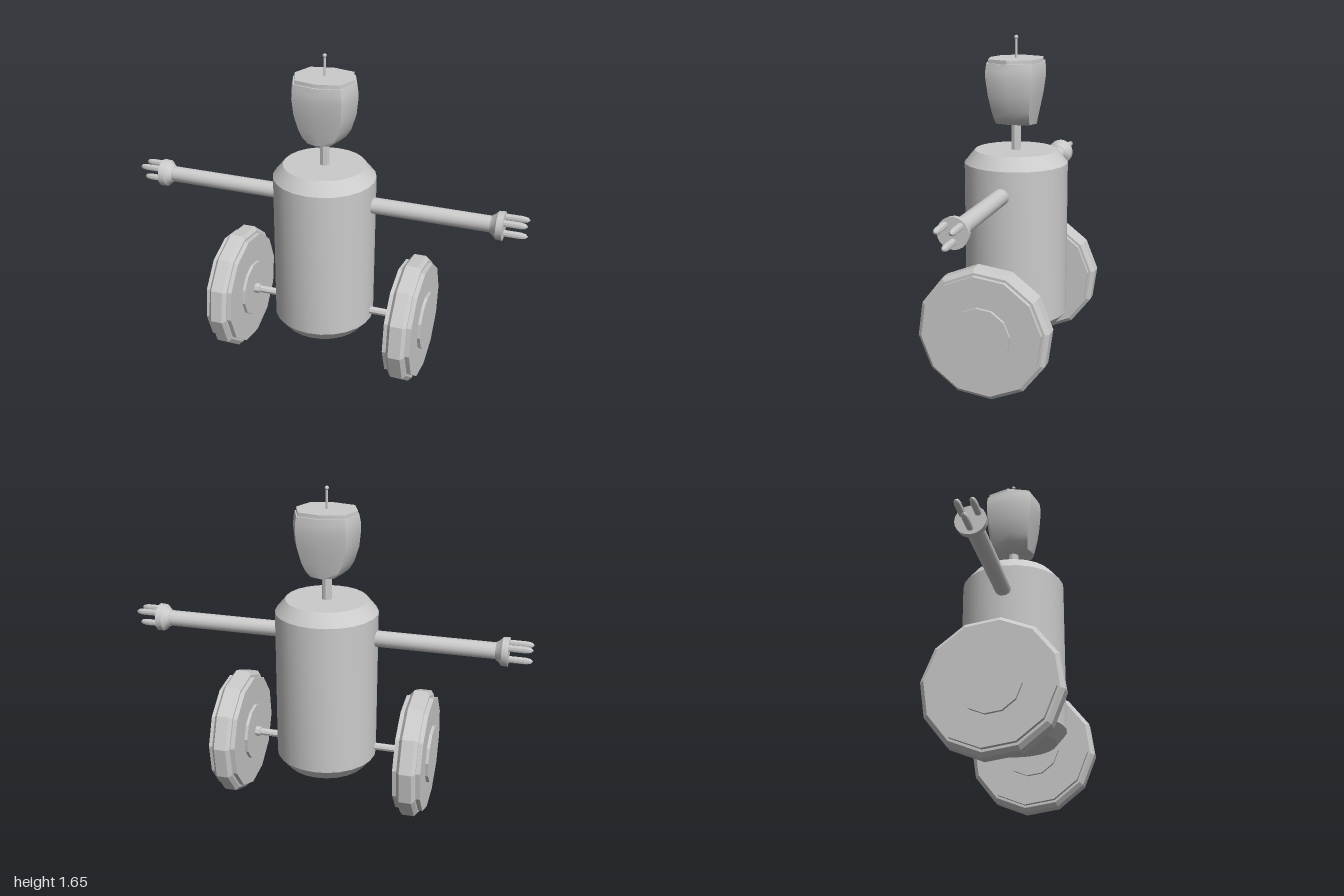
import * as THREE from 'three';
import { toCreasedNormals } from 'three/addons/utils/BufferGeometryUtils.js';

const grey = new THREE.MeshStandardMaterial({ color: 0xcccccc });
const AXIS_Z = -0.008;

function add(parent, name, geometry, x = 0, y = 0, z = 0, crease = 0.6) {
  const mesh = new THREE.Mesh(toCreasedNormals(geometry, crease), grey);
  mesh.name = name;
  mesh.position.set(x, y, z);
  parent.add(mesh);
  return mesh;
}

// Profile pairs are [radius, height], listed from bottom to top
const lathe = (points, sides) =>
  new THREE.LatheGeometry(points.map(([r, h]) => new THREE.Vector2(r, h)), sides);

// Same, but turned so that the profile runs along +x
const latheX = (points, sides, turn = 0) =>
  lathe(points, sides).rotateY(turn).rotateZ(-Math.PI / 2);

// Eight-sided loft; each row is [y, half width, half depth], bottom to top
function octagonLoft(rows) {
  const n = rows.length - 1;
  const geometry = new THREE.CylinderGeometry(1, 1, 1, 8, n);
  const p = geometry.attributes.position;
  for (let i = 0; i < p.count; i++) {
    const [y, w, d] = rows[Math.round((p.getY(i) + 0.5) * n)];
    const x = p.getX(i), z = p.getZ(i);
    const diagonal = Math.abs(x * z) > 0.1;
    p.setXYZ(i, x * w * (diagonal ? 1.04 : 1), y, z * d * (diagonal ? 1.14 : 1));
  }
  return geometry;
}

function createArm() {
  const arm = new THREE.Group();
  add(arm, 'armTube', latheX([[0, 0.2], [0.04, 0.2], [0.04, 0.84], [0, 0.84]], 16));
  add(arm, 'handCup', latheX(
    [[0, 0.825], [0.042, 0.825], [0.052, 0.84], [0.068, 0.855], [0.07, 0.886], [0, 0.886]], 20));
  // Three fingers: two above, one below
  for (const [y, z] of [[0.032, 0.034], [0.032, -0.034], [-0.037, 0]]) {
    add(arm, 'finger', latheX(
      [[0, 0.87], [0.016, 0.87], [0.016, 0.965], [0.012, 0.988], [0, 1]], 10), 0, y, z, 1.2);
  }
  return arm;
}

function createWheel() {
  const wheel = new THREE.Group();
  const turn = THREE.MathUtils.degToRad(7);
  add(wheel, 'tyre', latheX(
    [[0, -0.046], [0.302, -0.046], [0.322, -0.03], [0.322, 0.03], [0.302, 0.046], [0, 0.046]],
    12, turn), 0, 0, 0, 0.3);
  add(wheel, 'rim', latheX(
    [[0, -0.068], [0.29, -0.068], [0.29, 0.068], [0, 0.068]], 12, turn), 0, 0, 0, 0.3);
  add(wheel, 'hub', latheX(
    [[0, -0.083], [0.145, -0.083], [0.145, 0.083], [0, 0.083]], 12, turn), 0, 0, 0, 0.3);
  return wheel;
}

export function createModel() {
  const model = new THREE.Group();
  model.name = 'robot';

  // Barrel body with bevelled ends
  add(model, 'body', lathe(
    [[0, 0.217], [0.205, 0.217], [0.253, 0.275], [0.253, 1.035], [0.202, 1.097], [0, 1.097]], 24),
  0, 0, AXIS_Z);
  add(model, 'neck', new THREE.CylinderGeometry(0.025, 0.025, 0.18, 8), 0, 1.165, AXIS_Z);

  // Head with rounded jaw, flat lid and antenna
  const head = new THREE.Group();
  head.name = 'head';
  head.position.z = AXIS_Z;
  model.add(head);
  add(head, 'skull', octagonLoft([
    [1.227, 0.077, 0.104], [1.255, 0.11, 0.109], [1.294, 0.134, 0.116], [1.37, 0.158, 0.131],
    [1.45, 0.166, 0.143], [1.49, 0.164, 0.143], [1.522, 0.157, 0.139],
  ]), 0, 0, 0, 0.9);
  add(head, 'lid', octagonLoft([[1.51, 0.152, 0.131], [1.54, 0.15, 0.129]]));
  add(head, 'antenna', new THREE.CylinderGeometry(0.006, 0.006, 0.11, 8), 0, 1.59, 0, 0.9);
  add(head, 'antennaTip', new THREE.SphereGeometry(0.01, 10, 8), 0, 1.638, 0, 1.2);

  // Arms and wheels on both sides
  for (const [side, label] of [[1, 'left'], [-1, 'right']]) {
    const arm = createArm();
    arm.name = label + 'Arm';
    arm.position.set(0, 0.914, AXIS_Z);
    arm.scale.x = side;
    model.add(arm);

    const wheel = createWheel();
    wheel.name = label + 'Wheel';
    wheel.position.set(side * 0.468, 0.321, 0);
    model.add(wheel);

    add(model, label + 'AxleCollar',
      new THREE.CylinderGeometry(0.027, 0.027, 0.035, 8).rotateZ(Math.PI / 2), side * 0.375, 0.321, 0);
  }
  add(model, 'axle', new THREE.CylinderGeometry(0.019, 0.019, 0.8, 8).rotateZ(Math.PI / 2), 0, 0.321, 0);

  return model;
}
